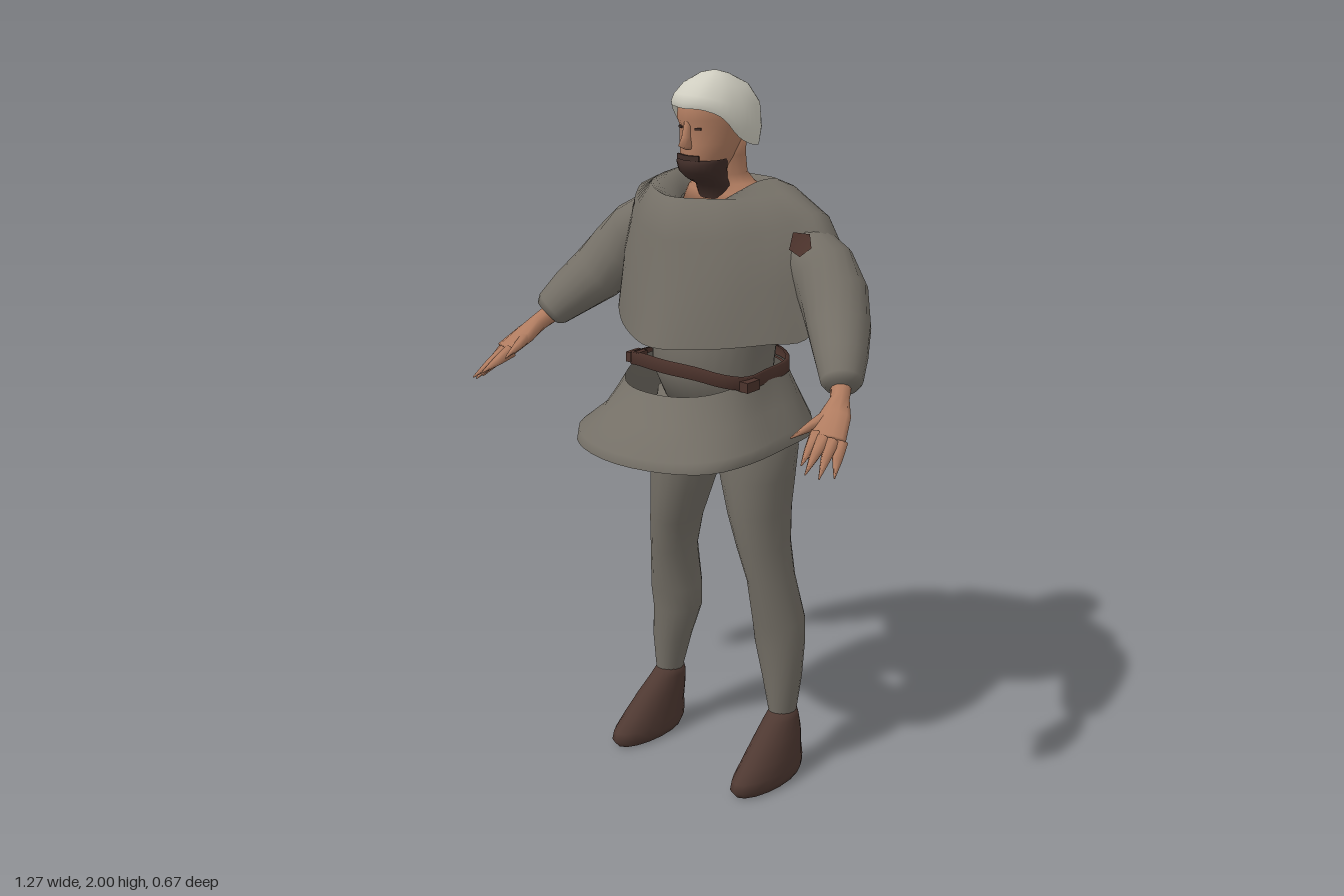
import * as THREE from 'three';

const V = (p) => new THREE.Vector3(p[0], p[1], p[2]);
const mat = (name, color, side = THREE.FrontSide) => {
  const m = new THREE.MeshStandardMaterial({ color, side });
  m.name = name;
  return m;
};

// Skin closed rings of Vector3, ordered bottom to top, with optional end caps
function loft(rings, capStart = false, capEnd = false) {
  const n = rings[0].length, pos = [], idx = [];
  rings.forEach((r) => r.forEach((p) => pos.push(p.x, p.y, p.z)));
  for (let j = 0; j < rings.length - 1; j++) {
    for (let i = 0; i < n; i++) {
      const k = (i + 1) % n, a = j * n + i, b = j * n + k;
      idx.push(a, b, b + n, a, b + n, a + n);
    }
  }
  const cap = (j, flip) => {
    const c = rings[j].reduce((s, p) => s.add(p), new THREE.Vector3()).divideScalar(n);
    const ci = pos.length / 3;
    pos.push(c.x, c.y, c.z);
    for (let i = 0; i < n; i++) {
      const a = j * n + i, b = j * n + (i + 1) % n;
      flip ? idx.push(ci, b, a) : idx.push(ci, a, b);
    }
  };
  if (capStart) cap(0, true);
  if (capEnd) cap(rings.length - 1, false);
  const g = new THREE.BufferGeometry();
  g.setAttribute('position', new THREE.Float32BufferAttribute(pos, 3));
  g.setIndex(idx);
  g.computeVertexNormals();
  return g;
}

// Level oval ring: centre x, height, half width, front z, back z
const oval = ([x, y, rx, zf, zb], n = 20) => Array.from({ length: n }, (_, i) => {
  const a = (i / n) * Math.PI * 2;
  return new THREE.Vector3(x + rx * Math.sin(a), y, (zf + zb) / 2 + ((zf - zb) / 2) * Math.cos(a));
});

// Symmetric ring from its left half, listed front to back
function halfRing(pts, n = 42) {
  const back = pts.slice(1, -1).reverse().map(([x, y, z]) => [-x, y, z]);
  const c = new THREE.CatmullRomCurve3([...pts, ...back].map(V), true);
  return Array.from({ length: n }, (_, i) => c.getPoint(i / n));
}

// Tapered limb along points [x, y, z, width, thickness]
function limb(pts, n = 14) {
  const c = pts.map(V);
  const rings = pts.map((p, i) => {
    const t = c[Math.min(i + 1, c.length - 1)].clone().sub(c[Math.max(i - 1, 0)]).normalize();
    const u = new THREE.Vector3(0, 1, 0).cross(t).normalize();
    const v = t.clone().cross(u);
    return Array.from({ length: n }, (_, k) => {
      const a = (k / n) * Math.PI * 2;
      return c[i].clone().addScaledVector(u, p[3] * Math.cos(a)).addScaledVector(v, (p[4] ?? p[3]) * Math.sin(a));
    });
  });
  return loft(rings, true, true);
}

function mirror(g) {
  const m = g.clone().scale(-1, 1, 1);
  m.index.array.reverse();
  m.computeVertexNormals();
  return m;
}

export function createModel() {
  const root = new THREE.Group();
  root.name = 'hoodedMan';
  const cloth = mat('greyWool', 0x757067, THREE.DoubleSide);
  const hose = mat('greyHose', 0x736e65);
  const linen = mat('paleLinen', 0xcfcdc0, THREE.DoubleSide);
  const skin = mat('skin', 0xb07c60);
  const shoe = mat('brownShoeLeather', 0x4f3932);
  const belt = mat('brownBeltLeather', 0x4c332c, THREE.DoubleSide);
  const beard = mat('darkBeard', 0x402d28, THREE.DoubleSide);
  const add = (name, g, m) => {
    const mesh = new THREE.Mesh(g, m);
    mesh.name = name;
    root.add(mesh);
    return mesh;
  };
  const pair = (name, g, m) => [add(name + 'Left', g, m), add(name + 'Right', mirror(g), m)];

  // Torso and pelvis
  add('torso', loft([[0, 1.1, 0.17, 0.04, -0.22], [0, 1.2, 0.172, 0.1, -0.22], [0, 1.32, 0.182, 0.09, -0.23],
    [0, 1.45, 0.22, 0.06, -0.22], [0, 1.57, 0.2, 0.03, -0.2], [0, 1.63, 0.12, -0.01, -0.18]].map((r) => oval(r, 28)), true, true), cloth);
  add('pelvis', loft([[0, 0.985, 0.05, -0.04, -0.18], [0, 1.01, 0.16, 0, -0.21], [0, 1.08, 0.2, 0.02, -0.225],
    [0, 1.15, 0.17, 0.03, -0.21]].map((r) => oval(r)), true, true), hose);

  // Legs and shoes: [centre x, y, half width, front z, back z]
  pair('leg', loft([[0.217, 0.17, 0.034, -0.07, -0.165], [0.217, 0.2, 0.036, -0.07, -0.165], [0.21, 0.3, 0.054, -0.06, -0.183],
    [0.195, 0.4, 0.071, -0.055, -0.2], [0.194, 0.47, 0.071, -0.042, -0.203], [0.182, 0.6, 0.058, -0.02, -0.18],
    [0.163, 0.7, 0.065, 0, -0.18], [0.144, 0.8, 0.079, 0.012, -0.198], [0.13, 0.9, 0.099, 0.015, -0.215],
    [0.12, 0.98, 0.113, 0.012, -0.227], [0.115, 1.1, 0.09, 0, -0.2]].map((r) => oval(r)), true, true), hose);
  pair('shoe', loft([[0.229, 0, 0.05, 0.095, -0.165], [0.229, 0.02, 0.058, 0.113, -0.178], [0.229, 0.045, 0.058, 0.105, -0.18],
    [0.227, 0.08, 0.055, 0.065, -0.176], [0.223, 0.13, 0.049, 0.008, -0.178], [0.218, 0.175, 0.041, -0.045, -0.173],
    [0.217, 0.2, 0.034, -0.07, -0.165]].map((r) => oval(r, 16)), true, true), shoe);

  // Flared skirt of the tunic, standing clear of the belly
  add('tunicSkirt', loft([
    [[0, 1.012, 0.333], [0.15, 1.012, 0.3], [0.24, 1.012, 0.23], [0.275, 1.015, 0.11], [0.27, 1.018, -0.05], [0.24, 1.015, -0.2], [0.13, 1.01, -0.31], [0, 1.01, -0.33]],
    [[0, 1.04, 0.33], [0.15, 1.04, 0.295], [0.24, 1.045, 0.222], [0.277, 1.05, 0.1], [0.265, 1.055, -0.05], [0.232, 1.045, -0.2], [0.13, 1.04, -0.308], [0, 1.04, -0.326]],
    [[0, 1.105, 0.265], [0.12, 1.105, 0.235], [0.19, 1.1, 0.17], [0.222, 1.105, 0.07], [0.215, 1.11, -0.06], [0.2, 1.11, -0.19], [0.115, 1.11, -0.275], [0, 1.11, -0.292]],
    [[0, 1.18, 0.208], [0.085, 1.18, 0.188], [0.15, 1.185, 0.13], [0.187, 1.2, 0.04], [0.183, 1.21, -0.07], [0.172, 1.21, -0.16], [0.1, 1.2, -0.23], [0, 1.2, -0.245]],
  ].map((r) => halfRing(r))), cloth);

  // Belt with side knots
  const beltLine = [[0, 1.235, 0.145], [0.1, 1.232, 0.13], [0.17, 1.215, 0.09], [0.2, 1.202, 0.03], [0.19, 1.2, -0.07], [0.18, 1.205, -0.17], [0.1, 1.21, -0.235], [0, 1.21, -0.255]];
  add('belt', loft([[-0.018, 0.95], [-0.017, 1], [0.017, 1], [0.018, 0.95]].map(([dy, s]) =>
    halfRing(beltLine.map(([x, y, z]) => [x * s, y + dy, (z + 0.06) * s - 0.06])))), belt);
  const knot = new THREE.BoxGeometry(0.035, 0.028, 0.05);
  knot.translate(0.203, 1.2, 0.03);
  pair('beltKnot', knot, belt);

  // Shoulder cape, hem up to collar and down inside the neck
  const cape = add('shoulderCape', loft([
    [[0, 1.3, 0.19], [0.15, 1.31, 0.128], [0.27, 1.325, 0.03], [0.335, 1.335, -0.045], [0.38, 1.47, -0.12], [0.372, 1.37, -0.23], [0.16, 1.36, -0.318], [0, 1.36, -0.337]],
    [[0, 1.44, 0.157], [0.15, 1.45, 0.108], [0.25, 1.47, 0.025], [0.312, 1.49, -0.045], [0.36, 1.56, -0.12], [0.34, 1.5, -0.222], [0.15, 1.47, -0.298], [0, 1.46, -0.312]],
    [[0, 1.58, 0.13], [0.13, 1.59, 0.086], [0.22, 1.61, 0.012], [0.275, 1.635, -0.05], [0.303, 1.655, -0.12], [0.28, 1.625, -0.205], [0.13, 1.59, -0.27], [0, 1.58, -0.28]],
    [[0, 1.693, 0.11], [0.09, 1.693, 0.07], [0.165, 1.693, 0.005], [0.2, 1.695, -0.06], [0.212, 1.697, -0.12], [0.175, 1.695, -0.19], [0.08, 1.693, -0.228], [0, 1.69, -0.234]],
    [[0, 1.655, 0.05], [0.07, 1.665, 0.03], [0.12, 1.7, -0.01], [0.14, 1.722, -0.07], [0.138, 1.722, -0.12], [0.115, 1.712, -0.18], [0.055, 1.705, -0.21], [0, 1.703, -0.216]],
    [[0, 1.6, 0.0], [0.05, 1.61, -0.01], [0.09, 1.63, -0.03], [0.12, 1.65, -0.07], [0.125, 1.65, -0.12], [0.105, 1.65, -0.17], [0.05, 1.65, -0.2], [0, 1.65, -0.205]],
  ].map((r) => halfRing(r, 56))), cloth);

  // Sleeves
  const [sleeve] = pair('sleeve', limb([[0.2, 1.56, -0.11, 0.06], [0.265, 1.553, -0.117, 0.08], [0.325, 1.508, -0.117, 0.092],
    [0.38, 1.45, -0.1, 0.092], [0.435, 1.38, -0.055, 0.083], [0.485, 1.325, 0.0, 0.069], [0.52, 1.28, 0.042, 0.055],
    [0.528, 1.268, 0.052, 0.042]], 18), cloth);

  // Hands with pointed fingers
  pair('hand', limb([[0.51, 1.28, 0.03, 0.028], [0.54, 1.245, 0.075, 0.025], [0.556, 1.215, 0.115, 0.042, 0.024],
    [0.58, 1.175, 0.175, 0.048, 0.018]], 10), skin);
  [[[0.55, 1.18, 0.18], [0.575, 1.13, 0.272]], [[0.572, 1.175, 0.182], [0.598, 1.115, 0.285]], [[0.59, 1.17, 0.17], [0.618, 1.1, 0.255]],
    [[0.603, 1.165, 0.152], [0.635, 1.095, 0.215]], [[0.542, 1.215, 0.115], [0.513, 1.178, 0.238]]].forEach(([a, b], i) => {
    const m = a.map((v, k) => v * 0.5 + b[k] * 0.5);
    pair(i === 4 ? 'thumb' : 'finger' + (i + 1), limb([[...a, 0.02], [...m, 0.013], [...b, 0.002]], 6), skin);
  });

  // Small patch on the left shoulder, laid on the cloth
  const dir = V([-0.6, -0.4, -0.65]).normalize();
  const side = new THREE.Vector3(0, 1, 0).cross(dir).normalize(), up = dir.clone().cross(side);
  root.updateMatrixWorld(true);
  const spots = [[0, 0], [-0.028, 0.025], [-0.03, -0.015], [0.0, -0.036], [0.026, -0.014], [0.016, 0.03]].map(([a, b]) => {
    const from = V([0.302, 1.585, -0.05]).addScaledVector(side, a).addScaledVector(up, b).addScaledVector(dir, -0.4);
    const hit = new THREE.Raycaster(from, dir).intersectObjects([cape, sleeve])[0];
    return from.addScaledVector(dir, (hit ? hit.distance : 0.4) - 0.007);
  });
  const patch = new THREE.BufferGeometry().setFromPoints(spots);
  patch.setIndex([0, 1, 2, 0, 2, 3, 0, 3, 4, 0, 4, 5, 0, 5, 1]);
  patch.computeVertexNormals();
  add('shoulderPatch', patch, belt);

  // Neck, head and nose
  add('neck', loft([[0, 1.63, 0.14, -0.02, -0.2], [0, 1.68, 0.125, -0.04, -0.2], [0, 1.705, 0.085, -0.045, -0.175],
    [0, 1.73, 0.069, -0.04, -0.158], [0, 1.78, 0.066, -0.03, -0.155], [0, 1.84, 0.066, -0.03, -0.16]].map((r) => oval(r)), true, true), skin);
  add('head', loft([[0, 1.72, 0.025, 0.015, -0.06], [0, 1.74, 0.048, 0.038, -0.1], [0, 1.78, 0.064, 0.047, -0.13], [0, 1.82, 0.074, 0.046, -0.15],
    [0, 1.865, 0.081, 0.043, -0.17], [0, 1.885, 0.083, 0.053, -0.175], [0, 1.93, 0.08, 0.048, -0.175],
    [0, 1.965, 0.055, 0.01, -0.14]].map((r) => oval(r)), true, true), skin);
  add('nose', loft([[0, 1.808, 0.012, 0.055, 0.03], [0, 1.817, 0.017, 0.074, 0.03], [0, 1.84, 0.011, 0.064, 0.03],
    [0, 1.88, 0.008, 0.053, 0.03]].map((r) => oval(r, 8)), true, true), skin);

  // Eyes and moustache as thin plates
  const plate = (x, y, z, w, h, yaw) => new THREE.BoxGeometry(w, h, 0.006).rotateY(yaw).translate(x, y, z);
  pair('eye', plate(0.03, 1.862, 0.037, 0.017, 0.006, 0.45), beard);
  pair('moustache', plate(0.018, 1.785, 0.046, 0.04, 0.014, 0.3), beard);

  // Beard wrapping jaw and throat
  add('beard', loft([[0, 1.665, 0.045, -0.03, -0.1], [0, 1.7, 0.056, -0.022, -0.1], [0, 1.722, 0.056, 0.022, -0.09],
    [0, 1.745, 0.062, 0.05, -0.085], [0, 1.77, 0.068, 0.055, -0.085], [0, 1.78, 0.068, 0.046, -0.08]].map((r) => oval(r, 24))), beard);

  // Close linen cap covering the ears
  add('linenCap', loft([
    [[0, 1.915, 0.06], [0.05, 1.915, 0.045], [0.085, 1.893, 0.004], [0.097, 1.84, -0.045], [0.098, 1.815, -0.09], [0.084, 1.803, -0.145], [0.05, 1.803, -0.178], [0, 1.803, -0.185]],
    [[0, 1.93, 0.064], [0.05, 1.93, 0.049], [0.086, 1.912, 0.006], [0.102, 1.87, -0.045], [0.105, 1.855, -0.095], [0.092, 1.85, -0.145], [0.053, 1.85, -0.186], [0, 1.85, -0.194]],
    [[0, 1.95, 0.057], [0.046, 1.948, 0.043], [0.078, 1.935, 0.004], [0.093, 1.92, -0.045], [0.097, 1.915, -0.09], [0.086, 1.912, -0.14], [0.05, 1.91, -0.185], [0, 1.91, -0.194]],
    [[0, 1.978, 0.028], [0.036, 1.976, 0.016], [0.059, 1.97, -0.014], [0.071, 1.965, -0.05], [0.073, 1.962, -0.08], [0.064, 1.96, -0.12], [0.038, 1.96, -0.153], [0, 1.96, -0.163]],
    [[0, 1.996, -0.025], [0.018, 1.996, -0.03], [0.03, 1.995, -0.042], [0.036, 1.994, -0.056], [0.036, 1.993, -0.07], [0.03, 1.992, -0.085], [0.018, 1.991, -0.098], [0, 1.991, -0.102]],
    [[0, 2, -0.052], [0.005, 2, -0.053], [0.008, 2, -0.056], [0.009, 2, -0.06], [0.009, 2, -0.064], [0.008, 2, -0.068], [0.005, 2, -0.07], [0, 2, -0.071]],
  ].map((r) => halfRing(r, 36)), false, true), linen);

  return root;
}
